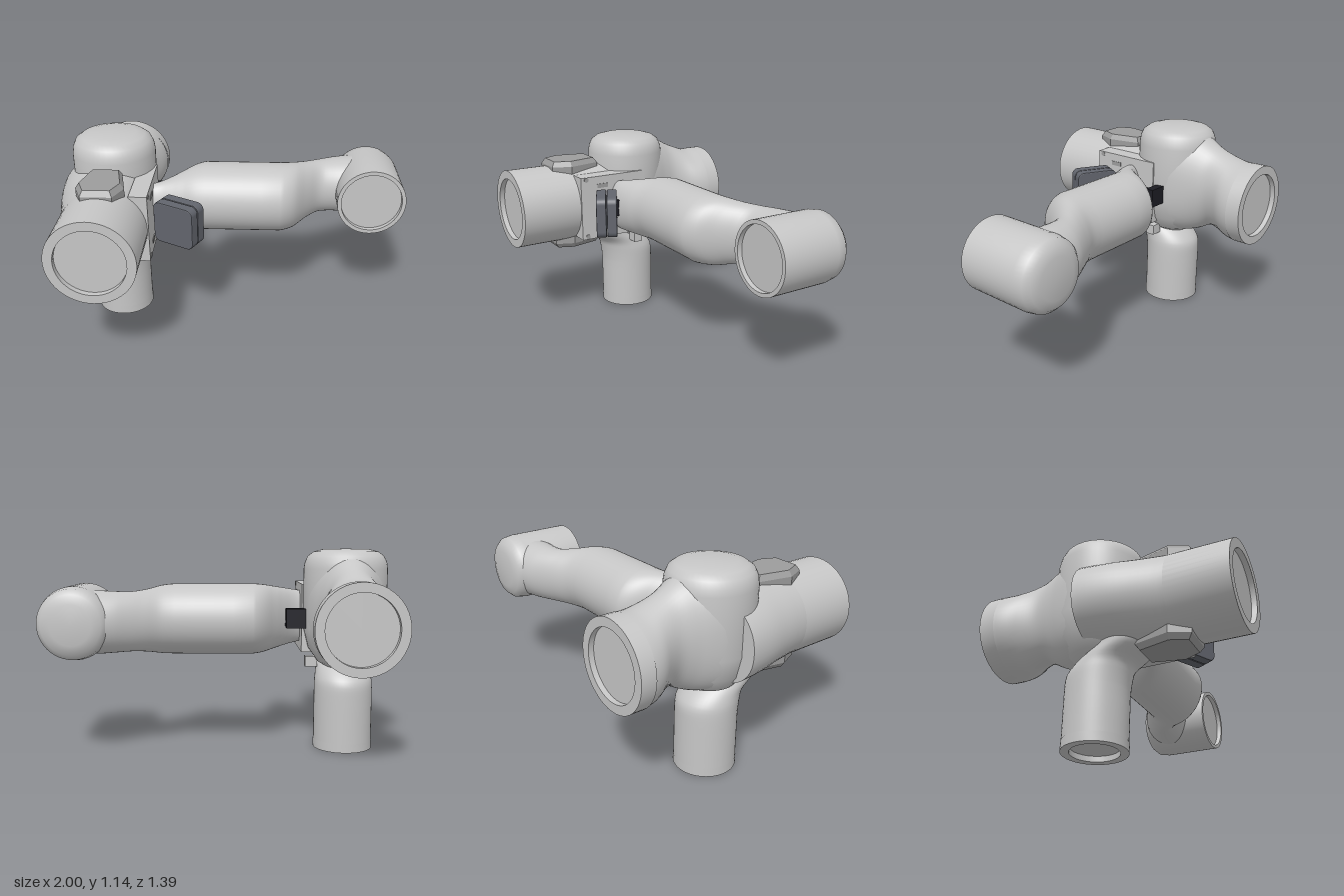
import * as THREE from 'three';
import { toCreasedNormals } from 'three/addons/utils/BufferGeometryUtils.js';

const X = -0.685, Y = 0.745; // shared axis of the main body

const material = (name, color) => {
  const m = new THREE.MeshStandardMaterial({ color });
  m.name = name;
  return m;
};

// Loft of superelliptic sections along an axis (0=x, 1=y, 2=z), listed in ascending order:
// [position, centre u, radius u, centre v, radius v, exponent], u and v being the next two axes.
function loft(axis, sections, { sides = 48, steps = 4, clampX = Infinity } = {}) {
  const rows = [];
  sections.forEach((s, i) => {
    const last = i === sections.length - 1;
    const a = sections[Math.max(i - 1, 0)], b = sections[i + 1];
    const c = sections[Math.min(i + 2, sections.length - 1)];
    if (last) return rows.push(s);
    for (let k = 0; k < steps; k++) {
      const t = k / steps;
      rows.push(s.map((p1, j) => {
        const p0 = a[j], p2 = b[j], p3 = c[j];
        if (j === 0 || p1 === p2) return p1 + (p2 - p1) * t;
        return 0.5 * (2 * p1 + (p2 - p0) * t + (2 * p0 - 5 * p1 + 4 * p2 - p3) * t * t
          + (3 * p1 - p0 - 3 * p2 + p3) * t * t * t);
      }));
    }
  });
  const pos = [], index = [];
  const put = (p, u, v) => {
    const q = [0, 0, 0];
    q[axis] = p; q[(axis + 1) % 3] = u; q[(axis + 2) % 3] = v;
    pos.push(Math.min(q[0], clampX), q[1], q[2]);
  };
  const pw = (c, e) => Math.sign(c) * Math.abs(c) ** (2 / e);
  for (const [p, cu, ru, cv, rv, e] of rows) {
    for (let j = 0; j < sides; j++) {
      const t = j / sides * Math.PI * 2;
      put(p, cu + ru * pw(Math.cos(t), e), cv + rv * pw(Math.sin(t), e));
    }
  }
  for (let i = 0; i < rows.length - 1; i++) {
    for (let j = 0; j < sides; j++) {
      const a = i * sides + j, b = i * sides + (j + 1) % sides;
      index.push(a, b, a + sides, b, b + sides, a + sides);
    }
  }
  // End caps
  const first = rows[0], end = rows[rows.length - 1], n = rows.length * sides;
  put(first[0], first[1], first[3]);
  put(end[0], end[1], end[3]);
  for (let j = 0; j < sides; j++) {
    const k = (j + 1) % sides, o = n - sides;
    index.push(n, k, j, n + 1, o + j, o + k);
  }
  const g = new THREE.BufferGeometry();
  g.setAttribute('position', new THREE.Float32BufferAttribute(pos, 3));
  g.setIndex(index);
  return toCreasedNormals(g, 0.7);
}

const lathe = (points) =>
  toCreasedNormals(new THREE.LatheGeometry(points.map(p => new THREE.Vector2(...p)), 48), 0.6);

function roundedRect(w, h, r) {
  const s = new THREE.Shape();
  s.absarc(w / 2 - r, h / 2 - r, r, 0, Math.PI / 2);
  s.absarc(-w / 2 + r, h / 2 - r, r, Math.PI / 2, Math.PI);
  s.absarc(-w / 2 + r, -h / 2 + r, r, Math.PI, Math.PI * 1.5);
  s.absarc(w / 2 - r, -h / 2 + r, r, Math.PI * 1.5, Math.PI * 2);
  return s;
}

export function createModel() {
  const shell = material('light grey shell', 0xc6c6c6);
  const panel = material('mid grey panel', 0x9c9c9c);
  const slate = material('slate housing', 0x62656d);
  const black = material('black bracket', 0x1d1d24);
  const model = new THREE.Group();
  const add = (name, geometry, mat, x = 0, y = 0, z = 0, parent = model) => {
    const m = new THREE.Mesh(geometry, mat);
    m.name = name;
    m.position.set(x, y, z);
    parent.add(m);
    return m;
  };
  const box = (name, w, h, d, mat, x, y, z) => add(name, new THREE.BoxGeometry(w, h, d), mat, x, y, z);

  // Front barrel with a recessed end disc
  add('frontBarrel', lathe([[0, 0], [0.237, 0], [0.237, 0.69], [0.187, 0.69], [0.187, 0.66], [0, 0.66]])
    .rotateX(Math.PI / 2), shell, X, Y, 0);

  // Flared skirt, flat on the side that carries the plate
  add('flaredSkirt', loft(2, [
    [-0.1, -0.72, 0.28, Y, 0.232, 2.2],
    [0.05, -0.715, 0.268, Y, 0.234, 2.1],
    [0.2, -0.70, 0.25, Y, 0.236, 2],
    [0.36, X, 0.236, Y, 0.236, 2],
  ], { clampX: -0.452 }), shell);

  // Side plate with screws and slots
  box('sidePlate', 0.1, 0.39, 0.43, shell, -0.492, Y, 0.113);
  box('plateTab', 0.07, 0.06, 0.055, shell, -0.5, 0.495, -0.075);
  for (const y of [0.568, 0.925]) {
    add('plateScrew', new THREE.CylinderGeometry(0.014, 0.014, 0.006, 16).rotateZ(Math.PI / 2),
      panel, -0.441, y, 0.293);
  }
  for (const y of [0.61, 0.88]) box('plateSlot', 0.006, 0.025, 0.07, panel, -0.441, y, 0.185);

  // Faceted pads above and below the barrel
  const pad = new THREE.Shape([[-0.07, -0.16], [0.07, -0.16], [0.108, -0.33], [0.07, -0.42],
    [-0.07, -0.42], [-0.108, -0.33]].map(p => new THREE.Vector2(...p)));
  for (const side of [1, -1]) {
    const g = new THREE.ExtrudeGeometry(pad, { depth: 0.06, bevelSize: 0.02, bevelThickness: 0.03, bevelSegments: 1 });
    g.rotateX(-Math.PI / 2);
    const m = add(side > 0 ? 'topPad' : 'bottomPad', g, panel, X, Y + side * 0.185, 0);
    if (side < 0) {
      m.rotation.z = Math.PI;
    }
  }

  // Domed elbow and the link running back from it
  add('elbowDome', lathe([[0, 0.45], [0.08, 0.46], [0.15, 0.5], [0.205, 0.58], [0.235, 0.7], [0.235, 1.03],
    [0.229, 1.065], [0.213, 1.1], [0.18, 1.124], [0.13, 1.137], [0, 1.14]]), shell, X, 0, -0.105);
  add('rearLink', loft(2, [
    [-0.62, X, 0.234, Y, 0.236, 2],
    [-0.55, X, 0.215, 0.752, 0.233, 2],
    [-0.47, X, 0.172, 0.778, 0.234, 2],
    [-0.4, X, 0.155, 0.798, 0.245, 2],
    [-0.32, X, 0.173, 0.8, 0.287, 2.1],
    [-0.25, X, 0.2, 0.8, 0.312, 2.3],
    [-0.18, X, 0.222, 0.803, 0.327, 2.5],
    [-0.1, X, 0.23, 0.8, 0.337, 2.6],
  ]), shell);
  add('rearFlange', lathe([[0, -0.67], [0.187, -0.67], [0.187, -0.7], [0.237, -0.7], [0.237, -0.615]])
    .rotateX(Math.PI / 2), shell, X, Y, 0);

  // Lower leg, leaning forward into the body, with an open recess underneath
  add('lowerLeg', loft(1, [
    [0.04, -0.105, 0.166, X, 0.166, 2],
    [0.3, -0.105, 0.166, X, 0.166, 2],
    [0.39, -0.096, 0.168, X, 0.164, 2],
    [0.45, -0.06, 0.155, X, 0.155, 2],
    [0.52, 0.03, 0.16, X, 0.15, 2],
    [0.6, 0.05, 0.16, X, 0.15, 2],
  ]), shell);
  add('legFoot', lathe([[0, 0.03], [0.125, 0.03], [0.125, 0], [0.168, 0], [0.168, 0.05]]), shell, X, 0, -0.105);

  // Side arm with its bent neck
  add('sideArm', loft(0, [
    [-0.5, Y, 0.14, 0.07, 0.055, 2],
    [-0.42, Y, 0.155, 0.06, 0.075, 2],
    [-0.36, Y, 0.166, 0.027, 0.1, 2],
    [-0.28, Y, 0.182, -0.035, 0.145, 2],
    [-0.22, Y, 0.194, -0.085, 0.18, 2],
    [-0.16, Y, 0.2, -0.11, 0.2, 2],
    [0.27, Y, 0.2, -0.11, 0.2, 2],
    [0.35, Y, 0.193, -0.14, 0.182, 2],
    [0.42, Y, 0.176, -0.205, 0.15, 2],
    [0.5, Y, 0.165, -0.27, 0.127, 2],
    [0.58, Y, 0.167, -0.298, 0.142, 2],
    [0.68, Y, 0.172, -0.312, 0.162, 2],
    [0.8, Y, 0.17, -0.32, 0.168, 2],
  ]), shell);
  add('armEnd', lathe([[0, -0.492], [0.11, -0.49], [0.16, -0.476], [0.188, -0.445], [0.198, -0.39],
    [0.198, -0.04], [0.175, -0.04], [0.175, -0.068], [0, -0.068]]).rotateX(Math.PI / 2), shell, 0.8, Y, 0);

  // Angled sensor housing made of two shells
  const sensor = new THREE.Group();
  sensor.name = 'sensor';
  sensor.position.set(-0.288, 0.75, 0.238);
  sensor.rotation.y = -0.49;
  model.add(sensor);
  for (const [name, z, depth] of [['sensorBack', -0.06, 0.058], ['sensorFront', 0.002, 0.058]]) {
    const g = new THREE.ExtrudeGeometry(roundedRect(0.24, 0.228, 0.032),
      { depth: depth - 0.012, bevelSize: 0.006, bevelThickness: 0.006, bevelSegments: 2 });
    add(name, g, slate, 0, 0, z + 0.006, sensor);
  }

  // Bracket holding the sensor
  box('bracketFoot', 0.11, 0.11, 0.05, black, -0.405, 0.75, -0.145);
  box('bracketArm', 0.04, 0.1, 0.31, black, -0.37, 0.75, -0.015);
  return model;
}
